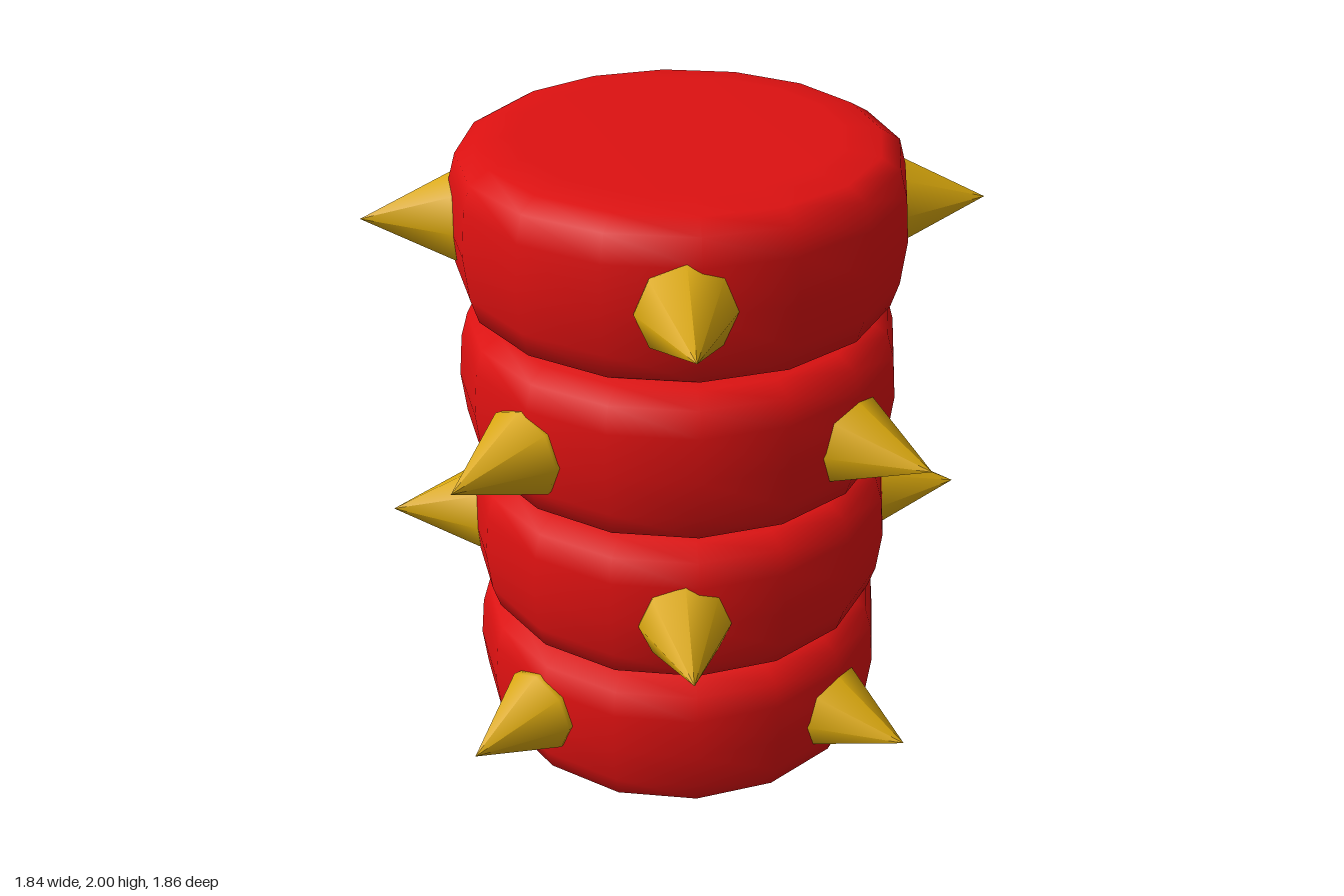
import * as THREE from 'three';

const red = new THREE.MeshStandardMaterial({ color: 0xdd1111 });
const gold = new THREE.MeshStandardMaterial({ color: 0xdaa80c });

const lathe = (points, sides) =>
  new THREE.LatheGeometry(points.map(([r, y]) => new THREE.Vector2(r, y)), sides);

// Drum with rounded rims, mirrored about its middle
function drumGeometry() {
  const lower = [[0, 0], [0.46, 0], [0.575, 0.012], [0.632, 0.045], [0.654, 0.12]];
  const upper = lower.map(([r, y]) => [r, 0.5 - y]).reverse();
  return lathe([...lower, [0.667, 0.25], ...upper], 16);
}

// Eight-sided spike along +z, its tip at the origin
function spikeGeometry() {
  return lathe([[0.11, -0.4], [0.132, -0.29], [0.136, -0.268], [0, 0]], 8).rotateX(Math.PI / 2);
}

export function createModel() {
  const model = new THREE.Group();
  const drum = drumGeometry();
  const spike = spikeGeometry();

  // Spike tips as [x, z]: straight on odd segments, diagonal on even ones
  const straight = [[-0.01, 0.927], [0.92, 0], [-0.01, -0.935], [-0.922, -0.005]];
  const diagonal = [[0.63, 0.67], [0.63, -0.667], [-0.653, -0.627], [-0.653, 0.63]];
  // Spike heights per segment, in the same order as the tips
  const heights = [
    [0.285, 0.235, 0.285, 0.245],
    [0.75, 0.75, 0.75, 0.75],
    [1.235, 1.235, 1.235, 1.235],
    [1.755, 1.755, 1.755, 1.755],
  ];

  heights.forEach((ys, i) => {
    const segment = new THREE.Group();
    segment.name = `segment${i + 1}`;

    const body = new THREE.Mesh(drum, red);
    body.name = 'drum';
    body.position.set(0.013, i * 0.5, 0);
    segment.add(body);

    (i % 2 ? diagonal : straight).forEach(([x, z], k) => {
      const mesh = new THREE.Mesh(spike, gold);
      mesh.name = `spike${k + 1}`;
      mesh.position.set(x, ys[k], z);
      // Point outward along the nearest eighth of a turn
      const step = Math.PI / 4;
      mesh.rotation.y = Math.round(Math.atan2(x, z) / step) * step;
      segment.add(mesh);
    });
    model.add(segment);
  });
  return model;
}
